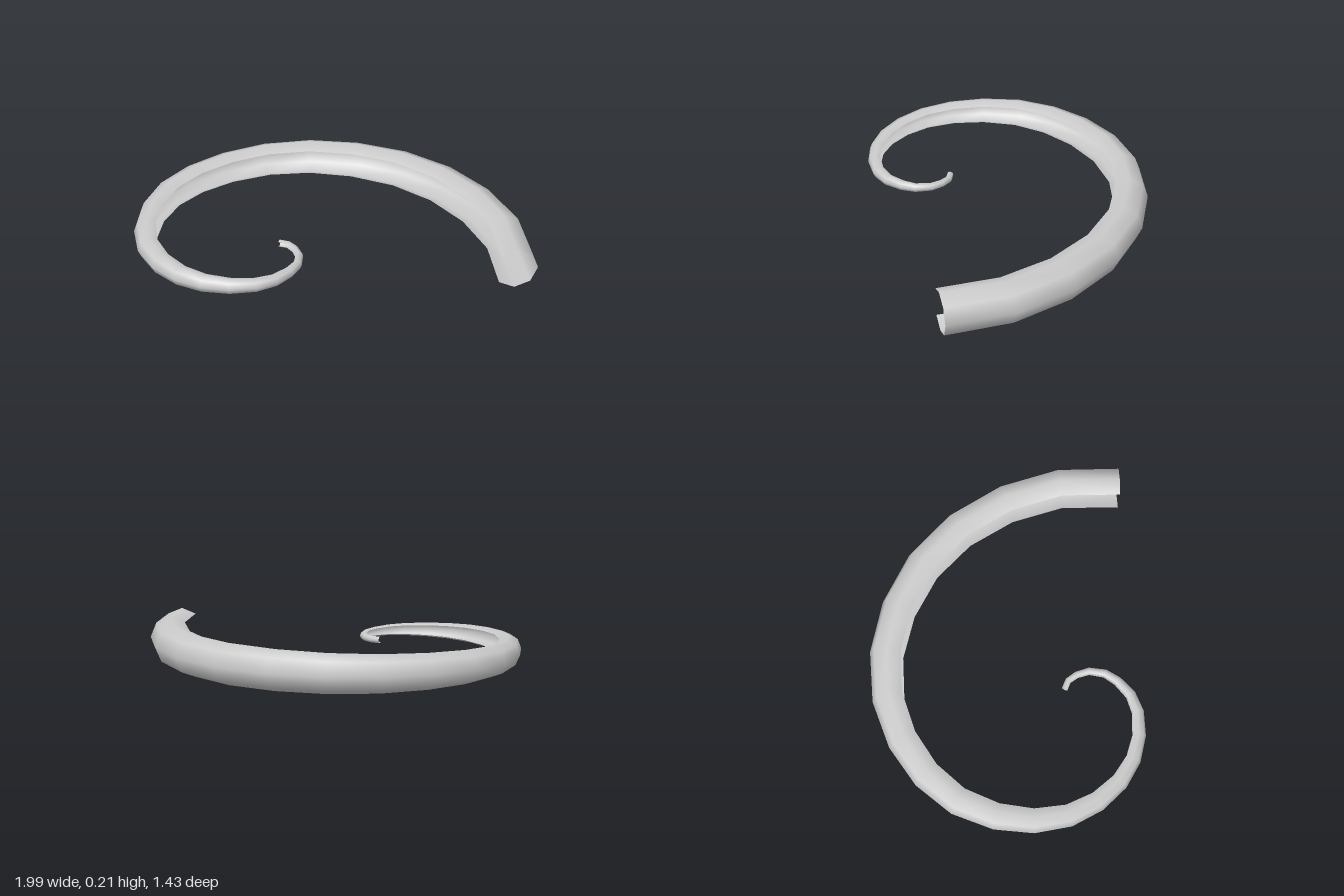
import * as THREE from 'three';

// Centre line of the curl on the ground plane, [x, z], from wide end to tip
const PATH = [
  [0.896, 0.282], [0.814, -0.012], [0.66, -0.258], [0.458, -0.449], [0.225, -0.573],
  [-0.03, -0.627], [-0.275, -0.617], [-0.496, -0.542], [-0.68, -0.414], [-0.814, -0.259],
  [-0.898, -0.082], [-0.923, 0.109], [-0.9, 0.284], [-0.836, 0.435], [-0.739, 0.549],
  [-0.621, 0.629], [-0.499, 0.668], [-0.375, 0.67], [-0.263, 0.64], [-0.187, 0.588],
  [-0.135, 0.511], [-0.112, 0.444], [-0.12, 0.366], [-0.153, 0.312], [-0.192, 0.279],
  [-0.238, 0.273],
].map(([x, z]) => new THREE.Vector2(x, z));

const TIP = 0.017, BASE = 0.105; // section radii
const SIDES = 7;                 // octagon corners, the inward one left out

// Open octagonal channel swept along the path, tapering smoothly to the tip
function channelGeometry() {
  const positions = [], index = [];
  const last = PATH.length - 1;
  PATH.forEach((p, i) => {
    const tangent = PATH[Math.min(i + 1, last)].clone().sub(PATH[Math.max(i - 1, 0)]).normalize();
    const r = TIP + (BASE - TIP) * (1 + Math.cos(Math.PI * i / last)) / 2;
    for (let j = 0; j < SIDES; j++) {
      const a = (j - 3) * Math.PI / 4; // 0 points to the outside of the curl
      const out = r * Math.cos(a);
      positions.push(p.x - tangent.y * out, BASE + r * Math.sin(a), p.y + tangent.x * out);
      if (i < last && j < SIDES - 1) {
        const k = i * SIDES + j, n = k + SIDES;
        index.push(k, n, k + 1, k + 1, n, n + 1);
      }
    }
  });
  const geometry = new THREE.BufferGeometry();
  geometry.setAttribute('position', new THREE.Float32BufferAttribute(positions, 3));
  geometry.setIndex(index);
  geometry.computeVertexNormals();
  return geometry;
}

export function createModel() {
  const group = new THREE.Group();
  group.name = 'spiralCurl';
  const material = new THREE.MeshStandardMaterial({ color: 0xcccccc, side: THREE.DoubleSide });
  const curl = new THREE.Mesh(channelGeometry(), material);
  curl.name = 'taperedChannel';
  group.add(curl);
  return group;
}
